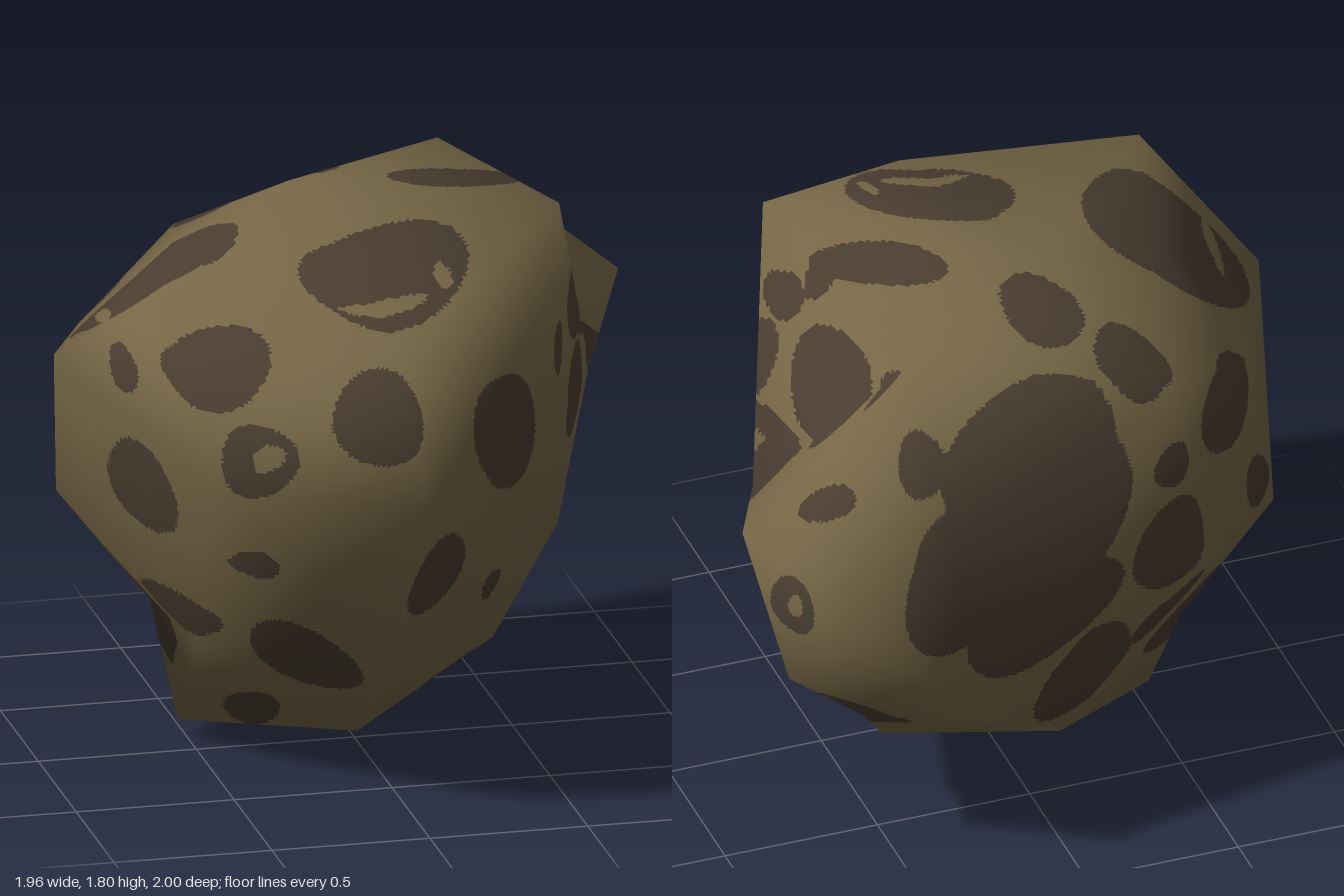
import * as THREE from 'three';
import { ConvexGeometry } from 'three/addons/geometries/ConvexGeometry.js';

// Corner points of the boulder
const corners = [
  [0.57, 1.8, 0.33], [0.4, 1.73, -0.57], [-0.16, 1.76, -0.19], [-0.73, 1.64, 0.51],
  [0.77, 1.16, -1], [0.86, 0.74, -0.69], [0.98, 1.25, -0.6], [0.45, 0.27, -0.41],
  [0.36, 0.62, -0.91], [-0.1, 0.21, -0.5], [0.01, 0, -0.07], [-0.53, 0.06, -0.12],
  [-0.1, 0.18, 0.46], [-0.06, 0.6, 0.85], [-0.66, 1.15, 0.89], [-0.01, 1.07, 1],
  [-0.87, 0.77, -0.31], [-0.98, 1.36, 0.12], [-0.52, 0.85, -0.66], [-0.42, 1.49, -0.64],
  [-0.05, 1.52, 0.8], [-0.1, 1.05, -0.8], [0.36, 1.2, -0.8], [0.48, 1.1, 0.55],
  [0.78, 1.1, -0.15], [-0.57, 0.45, 0.3], [0.62, 0.68, 0.1], [-0.8, 1.31, -0.3],
  [0.33, 1.42, 0.7], [0.35, 0.42, 0.37], [0.6, 0.52, -0.65], [-0.55, 1.61, -0.1],
  [-0.58, 0.4, -0.28],
].map((p) => new THREE.Vector3(...p));

// Blotches seen from one direction: [across, up, radius, second radius, tilt]
const frontSpots = [
  [-0.59, 1.47, 0.16, 0.11, 0.3], [-0.51, 1.22, 0.12, 0.1, 0.3], [-0.13, 1.33, 0.14],
  [0.31, 1.2, 0.12, 0.2, 0.2], [-0.76, 1, 0.06, 0.18, 0.25], [-0.49, 0.84, 0.07, 0.055, -0.4],
  [-0.61, 0.55, 0.09, 0.07, -0.4], [-0.29, 0.47, 0.18, 0.1, -0.6], [0.07, 0.79, 0.1, 0.14, -0.5],
  [-0.37, 0.19, 0.07, 0.08], [0.31, 0.64, 0.03, 0.055, -0.4], [-0.83, 1.4, 0.03, 0.07],
];
const sideSpots = [
  [-0.36, 1.34, 0.07, 0.085], [0.27, 1.5, 0.2, 0.16, -0.2], [-0.08, 1.1, 0.12, 0.15],
  [0.2, 1.18, 0.1, 0.13], [0.2, 1, 0.06], [0.12, 1.28, 0.16, 0.04], [-0.09, 1.4, 0.11, 0.13],
  [-0.08, 1.62, 0.1, 0.07], [0.76, 1.06, 0.08, 0.12, -0.4], [0.42, 0.9, 0.07, 0.08],
  [0.08, 0.59, 0.12, 0.08], [0.53, 0.56, 0.2, 0.13, 0.2], [-0.12, 0.28, 0.29, 0.22, -0.25],
  [0.71, 1.37, 0.06, 0.05], [0.52, 1.62, 0.05], [0.27, 0.2, 0.035, 0.07],
];
const topSpots = [
  [-0.64, -0.06, 0.26, 0.25], [0, -0.42, 0.26, 0.27], [-0.08, 0.38, 0.13], [-0.32, 0.54, 0.12],
  [0.07, 0.7, 0.3, 0.09, 0.1], [0.34, 0.07, 0.22, 0.11, -0.4],
];
const backSpots = [
  [-0.49, 0.9, 0.28, 0.33], [-0.77, 0.76, 0.22], [-0.53, 0.53, 0.26, 0.15], [-0.77, 1.17, 0.09, 0.11],
  [0.29, 0.82, 0.17, 0.14, 0.4], [-0.08, 0.53, 0.14], [-0.28, 0.22, 0.21, 0.14, -0.6],
  [0.03, 0.27, 0.15, 0.07, 0.2], [0.31, 0.14, 0.18, 0.1, 0.2], [0.44, 0.49, 0.08], [-0.05, 0.78, 0.07],
];
const bottomSpots = [[-0.17, -0.07, 0.1, 0.05]];

// Pale islands inside the blotches
const frontGaps = [[-0.48, 1.23, 0.055, 0.035, 0.4]];
const sideGaps = [[0.77, 1.06, 0.025, 0.05, -0.4]];
const topGaps = [[-0.04, -0.57, 0.14, 0.04, -0.1], [0.16, -0.5, 0.025, 0.07], [-0.82, -0.1, 0.02, 0.12, -0.1]];

// A test for whether a surface point lies in one of the spots of a direction
function spotTest(turn, lift, spots) {
  const spin = new THREE.Euler(-THREE.MathUtils.degToRad(lift), THREE.MathUtils.degToRad(turn), 0, 'YXZ');
  const across = new THREE.Vector3(1, 0, 0).applyEuler(spin);
  const up = new THREE.Vector3(0, 1, 0).applyEuler(spin);
  const facing = new THREE.Vector3(0, 0, 1).applyEuler(spin);
  return (point, normal) => normal.dot(facing) > 0.12 && spots.some(([cu, cv, ru, rv = ru, tilt = 0]) => {
    const u = point.dot(across) - cu, v = point.dot(up) - cv;
    const c = Math.cos(tilt), s = Math.sin(tilt);
    const du = (u * c + v * s) / ru, dv = (v * c - u * s) / rv;
    // slightly wavy outline
    return Math.hypot(du, dv) < 1 + 0.05 * Math.sin(3 * Math.atan2(dv, du) + cu * 20);
  });
}

// Join the corners into a closed skin, using the hull of their directions from the middle
function skin() {
  const middle = new THREE.Vector3(0, 0.9, 0);
  const dirs = corners.map((p) => p.clone().sub(middle).normalize());
  const hull = new ConvexGeometry(dirs).getAttribute('position');
  const index = [], d = new THREE.Vector3();
  for (let i = 0; i < hull.count; i++) {
    d.fromBufferAttribute(hull, i);
    index.push(dirs.findIndex((q) => q.distanceTo(d) < 1e-4));
  }
  const g = new THREE.BufferGeometry().setFromPoints(corners);
  g.setIndex(index);
  g.computeVertexNormals();
  return g;
}

export function createModel() {
  const base = skin();
  const index = base.index.array;
  const normals = corners.map((_, i) => new THREE.Vector3().fromBufferAttribute(base.attributes.normal, i));
  const darkTests = [
    spotTest(0, 0, frontSpots), spotTest(90, 0, sideSpots), spotTest(0, 90, topSpots),
    spotTest(215, 25, backSpots), spotTest(0, -90, bottomSpots),
  ];
  const gapTests = [spotTest(0, 0, frontGaps), spotTest(90, 0, sideGaps), spotTest(0, 90, topGaps)];

  const stone = new THREE.MeshStandardMaterial({ color: 0x756645 });
  stone.name = 'olive stone';
  const dark = new THREE.MeshStandardMaterial({ color: 0x4a3d30 });
  dark.name = 'dark brown stone';
  const body = { name: 'stoneBody', material: stone, pos: [], nor: [] };
  const blotches = { name: 'darkBlotches', material: dark, pos: [], nor: [] };

  // Cut each face into a fine grid and sort the pieces by colour
  const steps = 46;
  for (let f = 0; f < index.length; f += 3) {
    const mix = (list, i, j) => new THREE.Vector3()
      .addScaledVector(list[index[f]], 1 - (i + j) / steps)
      .addScaledVector(list[index[f + 1]], i / steps)
      .addScaledVector(list[index[f + 2]], j / steps);
    const addPiece = (grid) => {
      const p = grid.map(([i, j]) => mix(corners, i, j));
      const n = grid.map(([i, j]) => mix(normals, i, j).normalize());
      const centre = p[0].clone().add(p[1]).add(p[2]).divideScalar(3);
      const hit = (test) => test(centre, n[0]);
      const part = darkTests.some(hit) && !gapTests.some(hit) ? blotches : body;
      p.forEach((q) => part.pos.push(q.x, q.y, q.z));
      n.forEach((q) => part.nor.push(q.x, q.y, q.z));
    };
    for (let i = 0; i < steps; i++) {
      for (let j = 0; j < steps - i; j++) {
        addPiece([[i, j], [i + 1, j], [i, j + 1]]);
        if (i + j < steps - 1) addPiece([[i + 1, j], [i + 1, j + 1], [i, j + 1]]);
      }
    }
  }

  const group = new THREE.Group();
  group.name = 'boulder';
  for (const { name, material, pos, nor } of [body, blotches]) {
    const g = new THREE.BufferGeometry();
    g.setAttribute('position', new THREE.Float32BufferAttribute(pos, 3));
    g.setAttribute('normal', new THREE.Float32BufferAttribute(nor, 3));
    const mesh = new THREE.Mesh(g, material);
    mesh.name = name;
    group.add(mesh);
  }
  return group;
}
